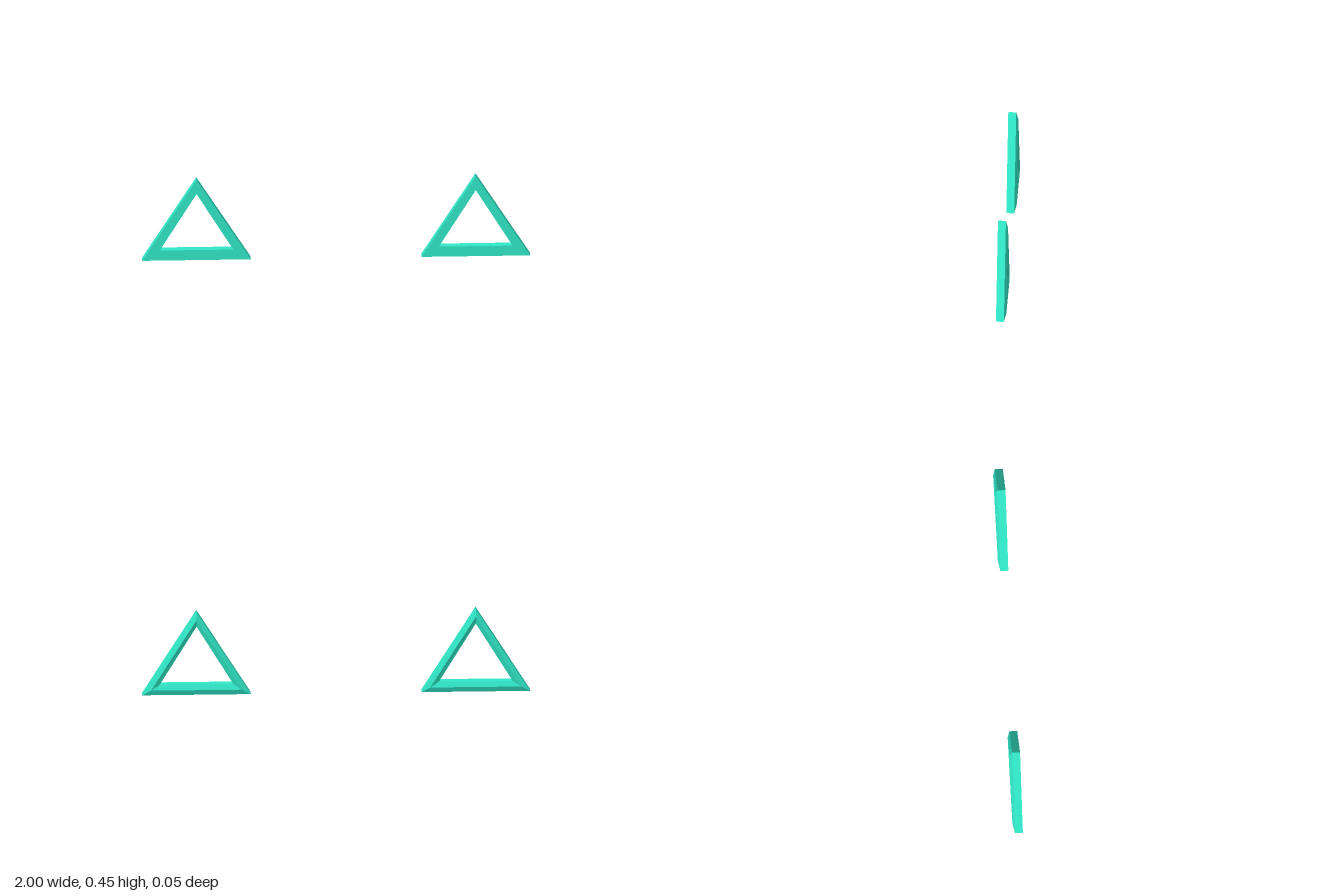
import * as THREE from 'three';

// Triangle outline: half width, base height, apex height, depth
const ring = (half, base, apex, z) => [[-half, base, z], [half, base, z], [0, apex, z]];

// Triangular frame with a flat front and a ridged back
function frameGeometry() {
  const rings = [
    ring(0.28, 0, 0.447, 0.026), // outer front edge
    ring(0.28, 0, 0.447, -0.015), // outer back edge
    ring(0.235, 0.028, 0.408, -0.026), // back ridge
    ring(0.19, 0.056, 0.369, -0.015), // inner back edge
    ring(0.19, 0.056, 0.369, 0.026), // inner front edge
  ];
  const points = [];
  rings.forEach((a, r) => {
    const b = rings[(r + 1) % rings.length];
    for (let i = 0; i < 3; i++) {
      const j = (i + 1) % 3;
      points.push(...a[i], ...b[i], ...b[j], ...a[i], ...b[j], ...a[j]);
    }
  });
  const geometry = new THREE.BufferGeometry();
  geometry.setAttribute('position', new THREE.Float32BufferAttribute(points, 3));
  geometry.computeVertexNormals();
  return geometry;
}

export function createModel() {
  const model = new THREE.Group();
  model.name = 'triangleFrames';
  const material = new THREE.MeshStandardMaterial({ color: 0x30e8c8 });
  const geometry = frameGeometry();
  // Matching pair, one on each side
  for (const [name, side] of [['leftTriangle', 1], ['rightTriangle', -1]]) {
    const frame = new THREE.Mesh(geometry, material);
    frame.name = name;
    frame.position.x = side * 0.72;
    model.add(frame);
  }
  return model;
}
